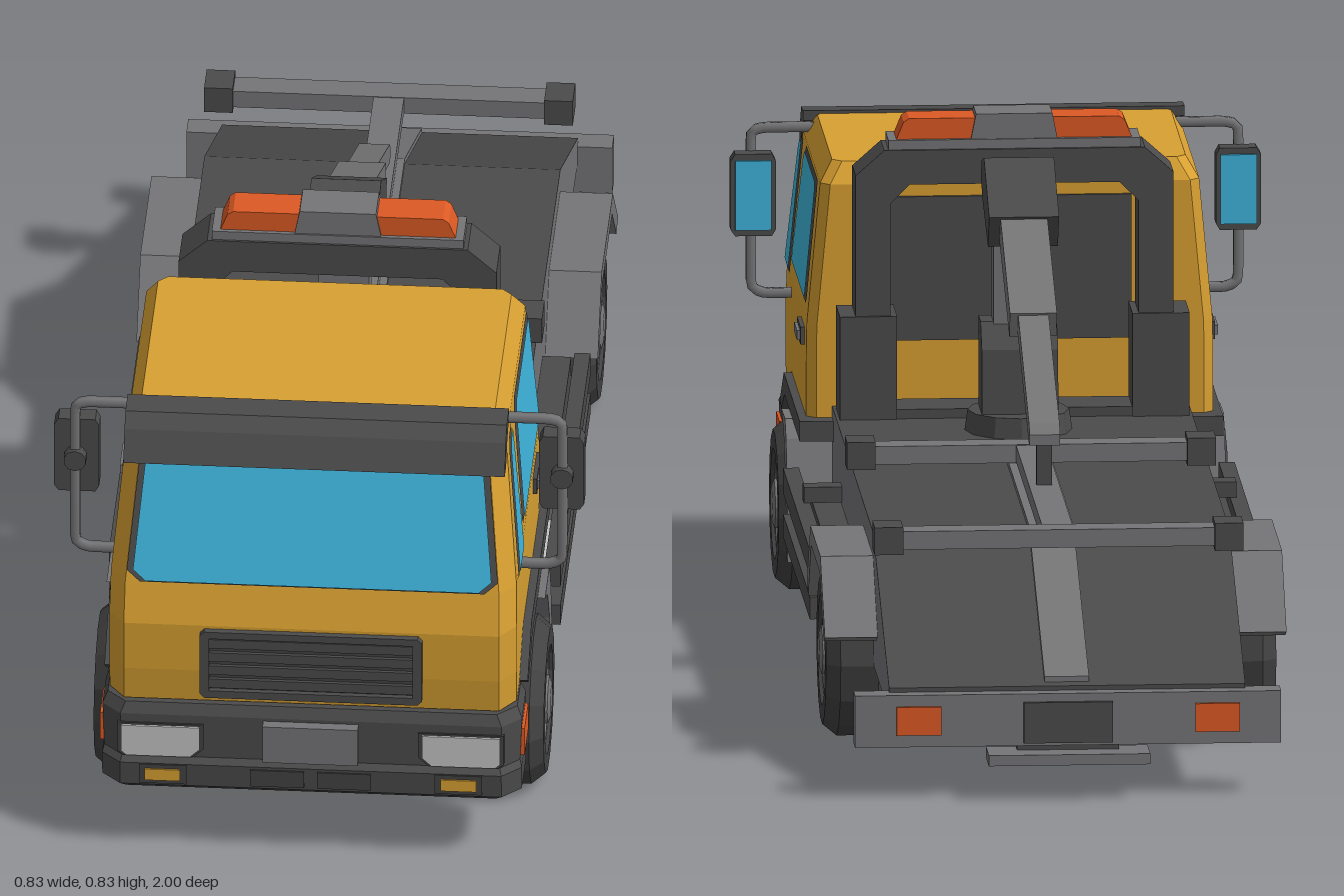
import * as THREE from 'three';

const mat = (name, color) => Object.assign(new THREE.MeshStandardMaterial({ color }), { name });

export function createModel() {
  const root = new THREE.Group();
  root.name = 'towTruck';
  const yellow = mat('cab yellow', 0xd8a032), glass = mat('glass blue', 0x3fb4dc);
  const dark = mat('dark grey', 0x4b4b4b), grey = mat('mid grey', 0x757577);
  const light = mat('lamp white', 0xc4c4c4), orange = mat('signal orange', 0xdc5a24);
  const tyre = mat('tyre black', 0x424242);

  const add = (name, geo, m) => {
    const mesh = new THREE.Mesh(geo, m);
    mesh.name = name;
    root.add(mesh);
    return mesh;
  };
  const flat = (geo) => {
    const g = geo.index ? geo.toNonIndexed() : geo;
    g.computeVertexNormals();
    return g;
  };
  const V2 = (pts) => pts.map(([a, b]) => new THREE.Vector2(a, b));
  const sides = (fn) => [1, -1].forEach(fn);

  // Box given by its x, y and z ranges
  const box = (name, m, x, y, z) => {
    const g = new THREE.BoxGeometry(Math.abs(x[1] - x[0]), y[1] - y[0], Math.abs(z[1] - z[0]));
    g.translate((x[0] + x[1]) / 2, (y[0] + y[1]) / 2, (z[0] + z[1]) / 2);
    return add(name, g, m);
  };
  const pair = (name, m, x, y, z) => sides((s) => box(name, m, [x[0] * s, x[1] * s], y, z));
  // Side outline in (z, y), extruded across x
  const profile = (name, m, pts, xa, xb) => {
    const g = new THREE.ExtrudeGeometry(new THREE.Shape(V2(pts)), { depth: Math.abs(xb - xa), bevelEnabled: false });
    g.rotateY(-Math.PI / 2).translate(Math.max(xa, xb), 0, 0);
    return add(name, g, m);
  };
  // Front outline in (x, y), extruded along z
  const plate = (name, m, pts, z0, z1, hole) => {
    const shape = new THREE.Shape(V2(pts));
    if (hole) shape.holes.push(new THREE.Path(V2(hole)));
    const g = new THREE.ExtrudeGeometry(shape, { depth: z1 - z0, bevelEnabled: false });
    return add(name, g.translate(0, 0, z0), m);
  };
  // Stacked rings with chamfered corners; levels are [y, halfWidth, zFront, zBack]
  const loft = (name, m, levels, c, d, e) => {
    const pos = [], idx = [], n = 8, last = (levels.length - 1) * n;
    for (const [y, w, f, b] of levels) {
      for (const [x, z] of [[c - w, f], [w - c, f], [w, f - d], [w, b + e], [w - e, b], [e - w, b], [-w, b + e], [-w, f - d]]) pos.push(x, y, z);
    }
    for (let l = 0; l < last; l += n) {
      for (let i = 0; i < n; i++) {
        const a = l + i, b = l + (i + 1) % n;
        idx.push(a, b, b + n, a, b + n, a + n);
      }
    }
    for (let i = 1; i < n - 1; i++) idx.push(0, i + 1, i, last, last + i, last + i + 1);
    const g = new THREE.BufferGeometry();
    g.setAttribute('position', new THREE.Float32BufferAttribute(pos, 3));
    g.setIndex(idx);
    return add(name, flat(g), m);
  };
  // Flat convex panel fanned from its corners
  const panel = (name, m, pts, flip) => {
    const g = new THREE.BufferGeometry(), idx = [];
    g.setAttribute('position', new THREE.Float32BufferAttribute(pts.flat(), 3));
    for (let i = 1; i < pts.length - 1; i++) idx.push(0, flip ? i + 1 : i, flip ? i : i + 1);
    g.setIndex(idx);
    return add(name, flat(g), m);
  };
  const grow = (pts, k) => {
    const cx = pts.reduce((t, p) => t + p[0], 0) / pts.length, cy = pts.reduce((t, p) => t + p[1], 0) / pts.length;
    return pts.map(([a, b]) => [cx + (a - cx) * k, cy + (b - cy) * k]);
  };

  // Cab shell
  loft('cab', yellow, [[0.27, 0.32, 0.966, 0.86], [0.327, 0.32, 0.972, 0.78], [0.327, 0.32, 0.972, 0.43],
    [0.41, 0.32, 0.973, 0.43], [0.475, 0.319, 0.955, 0.43], [0.70, 0.298, 0.888, 0.43], [0.733, 0.278, 0.85, 0.452]], 0.025, 0.035, 0.015);
  const cabX = (y) => 0.319 - (y - 0.475) / 0.225 * 0.021;
  const cabZ = (y) => 0.955 - (y - 0.475) / 0.225 * 0.067;

  // Windscreen and side windows, each with a trim behind
  const screen = [[-0.262, 0.48], [0.262, 0.48], [0.282, 0.497], [0.264, 0.688], [-0.264, 0.688], [-0.282, 0.497]];
  const onFront = (pts, o) => pts.map(([x, y]) => [x, y, cabZ(y) + o]);
  panel('windscreenTrim', dark, onFront(grow(screen, 1.035), 0.003));
  panel('windscreen', glass, onFront(screen, 0.006));
  const quarter = [[0.82, 0.487], [0.903, 0.487], [0.853, 0.672], [0.837, 0.69], [0.802, 0.692]];
  const door = [[0.475, 0.51], [0.77, 0.51], [0.777, 0.522], [0.738, 0.682], [0.722, 0.695], [0.475, 0.695], [0.466, 0.685], [0.466, 0.52]];
  sides((s) => {
    const onSide = (pts, o) => pts.map(([z, y]) => [s * (cabX(y) + o), y, z]);
    for (const [name, pts] of [['quarterWindow', quarter], ['doorWindow', door]]) {
      panel(name + 'Trim', dark, onSide(grow(pts, 1.07), 0.003), s > 0);
      panel(name, glass, onSide(pts, 0.006), s > 0);
    }
  });
  pair('doorHandle', dark, [0.315, 0.326], [0.432, 0.46], [0.49, 0.572]);
  pair('doorHandleGrip', grey, [0.32, 0.331], [0.438, 0.453], [0.497, 0.565]);
  box('cabRearPanel', dark, [-0.19, 0.19], [0.45, 0.68], [0.424, 0.435]);

  // Sun visor
  profile('sunVisor', dark, [[0.915, 0.668], [0.89, 0.715], [0.868, 0.735], [0.822, 0.738], [0.822, 0.722], [0.86, 0.70], [0.885, 0.668]], -0.3, 0.3);

  // Grille
  plate('grille', dark, [[-0.175, 0.293], [-0.168, 0.285], [0.168, 0.285], [0.175, 0.293], [0.175, 0.398], [0.168, 0.405], [-0.168, 0.405], [-0.175, 0.398]],
    0.96, 0.984, [[-0.16, 0.298], [0.16, 0.298], [0.16, 0.393], [-0.16, 0.393]]);
  box('grilleBack', tyre, [-0.162, 0.162], [0.296, 0.395], [0.96, 0.975]);
  for (let i = 0; i < 4; i++) box('grilleSlat', dark, [-0.16, 0.16], [0.302 + i * 0.024, 0.318 + i * 0.024], [0.965, 0.981]);

  // Bumper with lamps
  loft('bumper', dark, [[0.115, 0.32, 0.975, 0.86], [0.125, 0.33, 0.987, 0.86], [0.165, 0.33, 0.99, 0.86], [0.175, 0.327, 0.982, 0.86],
    [0.25, 0.33, 0.982, 0.86], [0.268, 0.322, 0.974, 0.86]], 0.03, 0.03, 0.01);
  const lamp = [[0.19, 0.178], [0.29, 0.178], [0.298, 0.185], [0.298, 0.232], [0.175, 0.232], [0.175, 0.192]];
  sides((s) => {
    const m = (k) => grow(lamp, k).map(([x, y]) => [x * s, y]);
    plate('headlightSurround', tyre, m(1.1), 0.975, 0.985);
    plate('headlight', light, m(1), 0.98, 0.989);
  });
  pair('fogLampSurround', tyre, [0.195, 0.27], [0.13, 0.164], [0.98, 0.992]);
  pair('fogLamp', yellow, [0.205, 0.261], [0.137, 0.157], [0.985, 0.995]);
  pair('bumperSlot', tyre, [0.01, 0.095], [0.131, 0.16], [0.98, 0.992]);
  box('frontPlate', grey, [-0.075, 0.075], [0.18, 0.245], [0.975, 1]);
  pair('sideIndicator', orange, [0.32, 0.334], [0.182, 0.23], [0.872, 0.95]);

  // Mirrors on tubular brackets
  sides((s) => {
    const pts = [[0.28, 0.715], [0.36, 0.715], [0.375, 0.712], [0.383, 0.70], [0.383, 0.47], [0.375, 0.455], [0.36, 0.45], [0.31, 0.45]];
    const path = new THREE.CatmullRomCurve3(pts.map(([x, y]) => new THREE.Vector3(x * s, y, 0.81)), false, 'catmullrom', 0.15);
    add('mirrorBracket', new THREE.TubeGeometry(path, 40, 0.009, 6), grey);
    const m = [[0.352, 0.548], [0.41, 0.548], [0.417, 0.558], [0.417, 0.668], [0.41, 0.679], [0.352, 0.679], [0.346, 0.668], [0.346, 0.558]];
    plate('mirrorHousing', dark, m.map(([x, y]) => [x * s, y]), 0.775, 0.806);
    box('mirrorGlass', glass, [0.353 * s, 0.41 * s], [0.558, 0.669], [0.77, 0.778]);
    const knob = new THREE.CylinderGeometry(0.018, 0.018, 0.02, 10).rotateX(Math.PI / 2).translate(0.383 * s, 0.613, 0.815);
    add('mirrorMount', knob, dark);
  });

  // Front wheel arches, mudguards and chassis
  sides((s) => {
    profile('frontFender', dark, [[0.4, 0.295], [0.77, 0.295], [0.85, 0.255], [0.87, 0.27], [0.785, 0.327], [0.4, 0.327]], 0.2 * s, 0.333 * s);
    profile('frontMudguard', grey, [[0.66, 0.295], [0.605, 0.27], [0.56, 0.2], [0.535, 0.08], [0.505, 0.08], [0.52, 0.2], [0.545, 0.27], [0.57, 0.297]], 0.24 * s, 0.345 * s);
  });
  box('frontChassis', dark, [-0.2, 0.2], [0.12, 0.21], [0.4, 0.88]);
  box('cabMount', dark, [-0.2, 0.2], [0.2, 0.33], [0.4, 0.6]);

  // Wheels
  const tyreLine = [[0, -0.052], [0.112, -0.052], [0.135, -0.03], [0.135, 0.03], [0.117, 0.052], [0.088, 0.052], [0.084, 0.04]];
  const rimLine = [[0.086, 0.046], [0.077, 0.046], [0.062, 0.03], [0.042, 0.03], [0.038, 0.052], [0.026, 0.056], [0, 0.056]];
  for (const z of [0.70, -0.44]) {
    sides((s) => {
      for (const [name, line, m] of [['tyre', tyreLine, tyre], ['rim', rimLine, grey]]) {
        const g = flat(new THREE.LatheGeometry(V2(line), 14));
        add(name, g.rotateZ(-s * Math.PI / 2).translate(s * 0.302, 0.135, z), m);
      }
    });
  }

  // Sloped bed with grey flanks and a central rail
  profile('bed', [grey, dark], [[0.43, 0.135], [0.43, 0.345], [-0.56, 0.345], [-0.94, 0.175], [-0.94, 0.135]], -0.28, 0.28);
  profile('bedRail', grey, [[0.1, 0.34], [0.1, 0.353], [-0.562, 0.353], [-0.93, 0.188], [-0.93, 0.17], [-0.56, 0.34]], -0.035, 0.035);
  sides((s) => profile('rearFender', grey, [[-0.23, 0.2], [-0.315, 0.308], [-0.555, 0.308], [-0.665, 0.2], [-0.632, 0.188],
    [-0.54, 0.28], [-0.33, 0.28], [-0.262, 0.185]], 0.27 * s, 0.363 * s));

  // Side lockers and guard rails
  pair('locker', dark, [0.27, 0.325], [0.14, 0.235], [-0.175, 0.26]);
  pair('sideTank', light, [0.27, 0.335], [0.16, 0.21], [0.28, 0.46]);
  pair('upperGuardRail', dark, [0.33, 0.355], [0.2, 0.24], [-0.18, 0.465]);
  pair('lowerGuardRail', dark, [0.33, 0.355], [0.13, 0.166], [-0.18, 0.465]);
  pair('guardBracket', grey, [0.27, 0.335], [0.14, 0.235], [0.262, 0.278]);
  pair('fillerCap', dark, [0.28, 0.34], [0.24, 0.265], [0.19, 0.225]);

  // Tail bar with lamps and step
  box('tailBar', grey, [-0.335, 0.335], [0.085, 0.168], [-0.965, -0.925]);
  pair('tailLamp', orange, [0.2, 0.27], [0.105, 0.15], [-0.972, -0.96]);
  box('rearPlate', dark, [-0.07, 0.07], [0.09, 0.155], [-0.972, -0.96]);
  box('rearStep', grey, [-0.127, 0.127], [0.06, 0.077], [-1, -0.93]);
  box('rearStepMount', dark, [-0.08, 0.08], [0.07, 0.1], [-0.96, -0.93]);

  // Frame behind the cab with beacon bar
  plate('headFrame', dark, [[-0.25, 0.345], [0.25, 0.345], [0.25, 0.735], [0.205, 0.775], [-0.205, 0.775], [-0.25, 0.735]], 0.325, 0.408,
    [[-0.195, 0.36], [0.195, 0.36], [0.195, 0.69], [0.165, 0.72], [-0.165, 0.72], [-0.195, 0.69]]);
  pair('frameFoot', dark, [0.185, 0.275], [0.34, 0.51], [0.32, 0.415]);
  box('beaconBase', grey, [-0.198, 0.198], [0.773, 0.79], [0.33, 0.404]);
  plate('beaconCentre', grey, [[-0.068, 0.79], [0.068, 0.79], [0.06, 0.83], [-0.06, 0.83]], 0.333, 0.401);
  sides((s) => plate('beacon', orange, [[0.06, 0.79], [0.185, 0.79], [0.174, 0.817], [0.165, 0.823], [0.06, 0.823]].map(([x, y]) => [x * s, y]), 0.338, 0.397));

  // Crane pillar and telescopic boom
  add('craneBase', flat(new THREE.CylinderGeometry(0.08, 0.085, 0.035, 12)).translate(0, 0.36, 0.235), dark);
  profile('cranePillar', dark, [[0.275, 0.36], [0.275, 0.52], [0.225, 0.52], [0.195, 0.48], [0.19, 0.36]], -0.06, 0.06);
  profile('craneColumn', grey, [[0.272, 0.51], [0.272, 0.74], [0.222, 0.74], [0.222, 0.51]], -0.04, 0.04);
  profile('boomHead', dark, [[0.25, 0.708], [0.292, 0.735], [0.28, 0.767], [0.22, 0.783], [0.095, 0.713], [0.125, 0.66]], -0.055, 0.055);
  profile('boomOuter', grey, [[0.13, 0.672], [0.11, 0.715], [-0.13, 0.605], [-0.115, 0.565]], -0.037, 0.037);
  profile('boomInner', grey, [[-0.1, 0.578], [-0.115, 0.608], [-0.39, 0.482], [-0.405, 0.467], [-0.405, 0.45], [-0.385, 0.45]], -0.024, 0.024);
  box('boomLink', dark, [-0.012, 0.012], [0.37, 0.46], [-0.388, -0.372]);

  // Wheel-lift beam with cross bars
  box('liftBeam', grey, [-0.024, 0.024], [0.357, 0.383], [-0.74, -0.03]);
  for (const z of [-0.055, -0.718]) {
    box('liftCrossBar', grey, [-0.26, 0.26], [0.355, 0.384], [z - 0.022, z + 0.022]);
    pair('liftEndBlock', dark, [0.245, 0.29], [0.348, 0.392], [z - 0.028, z + 0.028]);
  }
  return root;
}
